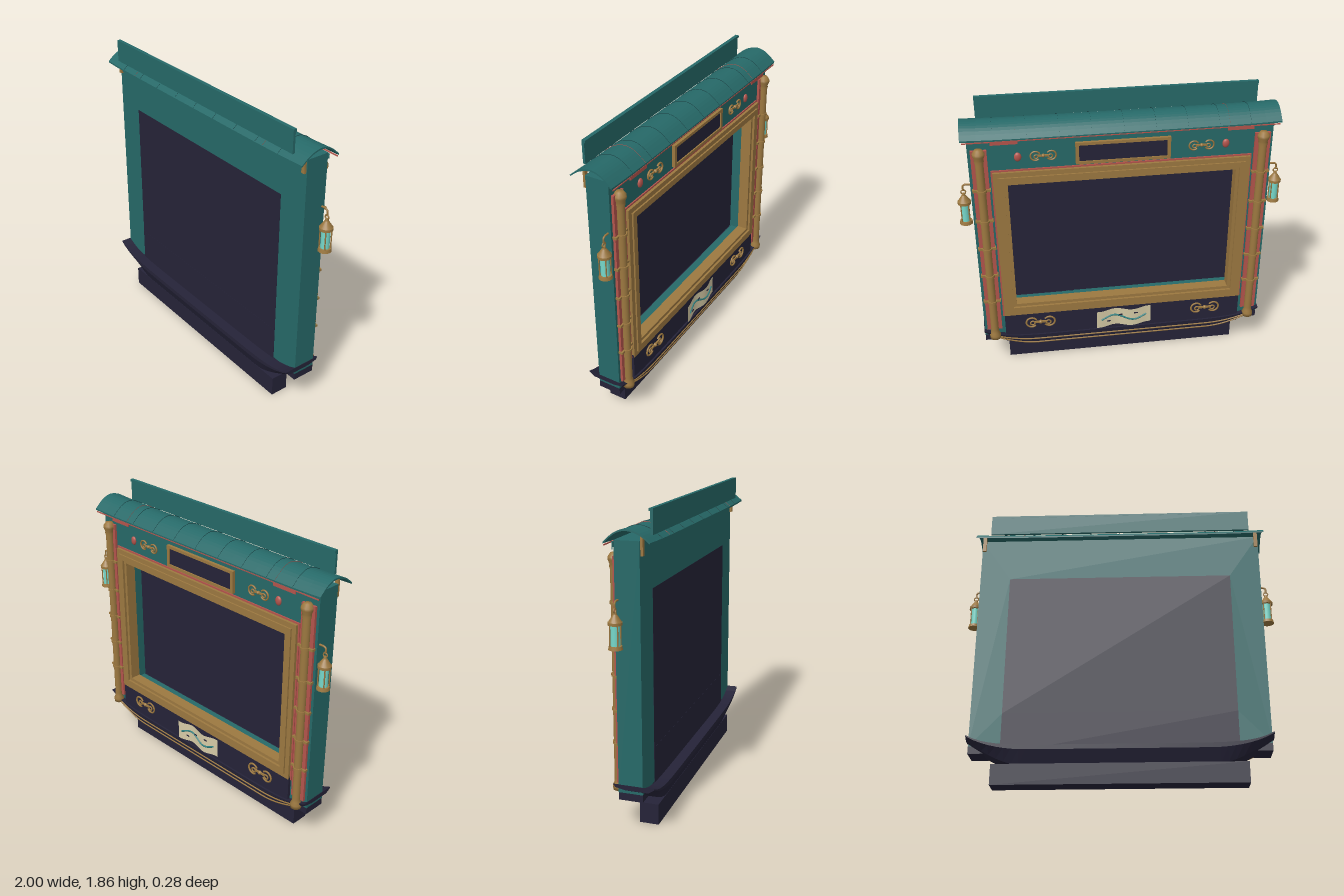
import * as THREE from 'three';

const mat = (name, color, double) => {
  const m = new THREE.MeshStandardMaterial({ color });
  m.name = name;
  if (double) m.side = THREE.DoubleSide;
  return m;
};

export function createModel() {
  const teal = mat('teal paint', 0x266968, true);
  const seamDark = mat('dark teal', 0x183f42);
  const dark = mat('dark indigo', 0x252338, true);
  const gold = mat('brass', 0x9c7840);
  const red = mat('red', 0xb3544c);
  const glass = mat('lantern glass', 0x76d8ca);
  const cream = mat('parchment', 0xd6cba6, true);
  const river = mat('river teal', 0x2f8080, true);

  const model = new THREE.Group();
  model.name = 'displayFrame';

  const add = (name, geo, material, x = 0, y = 0, z = 0, parent = model) => {
    const mesh = new THREE.Mesh(geo, material);
    mesh.name = name;
    mesh.position.set(x, y, z);
    parent.add(mesh);
    return mesh;
  };
  // box given by its limits
  const box = (name, m, x0, x1, y0, y1, z0, z1, parent) =>
    add(name, new THREE.BoxGeometry(x1 - x0, y1 - y0, z1 - z0), m, (x0 + x1) / 2, (y0 + y1) / 2, (z0 + z1) / 2, parent);
  const tube = (name, pts, r, m, parent, seg = 40) =>
    add(name, new THREE.TubeGeometry(new THREE.CatmullRomCurve3(pts.map(p => new THREE.Vector3(...p))), seg, r, 6), m, 0, 0, 0, parent);
  const cyl = (name, m, r0, r1, h, x, y, z, parent, seg = 16) =>
    add(name, new THREE.CylinderGeometry(r0, r1, h, seg), m, x, y, z, parent);
  // rectangular ring, extruded along z
  const ring = (name, m, [ox, oy0, oy1], [ix, iy0, iy1], z0, z1) => {
    const rect = (s, x, a, b) => s.moveTo(-x, a).lineTo(x, a).lineTo(x, b).lineTo(-x, b).lineTo(-x, a);
    const s = rect(new THREE.Shape(), ox, oy0, oy1);
    s.holes.push(rect(new THREE.Path(), ix, iy0, iy1));
    return add(name, new THREE.ExtrudeGeometry(s, { depth: z1 - z0, bevelEnabled: false }), m, 0, 0, z0);
  };
  // closed loft along x; section(x) gives a loop of [z, y]
  const loft = (name, m, xs, section) => {
    const pos = [], idx = [], loops = xs.map(section), n = loops[0].length;
    loops.forEach((l, i) => l.forEach(([z, y]) => pos.push(xs[i], y, z)));
    for (let i = 0; i < xs.length - 1; i++)
      for (let j = 0; j < n; j++) {
        const a = i * n + j, b = i * n + (j + 1) % n;
        idx.push(a, a + n, b, b, a + n, b + n);
      }
    [0, xs.length - 1].forEach((i, end) => {
      const tris = THREE.ShapeUtils.triangulateShape(loops[i].map(p => new THREE.Vector2(...p)), []);
      tris.forEach(t => idx.push(...(end ? t : [...t].reverse()).map(k => i * n + k)));
    });
    let g = new THREE.BufferGeometry();
    g.setAttribute('position', new THREE.Float32BufferAttribute(pos, 3));
    g.setIndex(idx);
    g = g.toNonIndexed();
    g.computeVertexNormals();
    return add(name, g, m);
  };
  const range = (a, b, n) => Array.from({ length: n + 1 }, (_, i) => a + (b - a) * i / n);

  // cabinet and screen
  ring('cabinet', teal, [0.915, 0.25, 1.69], [0.72, 0.46, 1.4], -0.08, 0.065);
  box('screen', dark, -0.72, 0.72, 0.46, 1.4, 0.045, 0.066);
  box('lowerFrontPanel', dark, -0.72, 0.72, 0.2, 0.46, 0.04, 0.067);
  box('lowerBackPanel', dark, -0.78, 0.78, 0.2, 0.42, -0.1, -0.07);
  box('cabinetFoot', dark, -0.915, 0.915, 0.205, 0.25, -0.08, 0.065);
  box('base', dark, -0.765, 0.765, 0, 0.128, -0.01, 0.105);

  // stepped brass moulding around the opening
  ring('outerMoulding', gold, [0.78, 0.405, 1.45], [0.745, 0.44, 1.415], -0.105, -0.08);
  ring('middleMoulding', gold, [0.75, 0.435, 1.42], [0.715, 0.47, 1.385], -0.115, -0.08);
  ring('innerMoulding', gold, [0.72, 0.465, 1.39], [0.695, 0.49, 1.365], -0.1, -0.03);
  ring('redFillet', red, [0.79, 0.395, 1.46], [0.775, 0.41, 1.445], -0.088, -0.08);

  // boat-shaped hull
  const bottomY = x => 0.12 + 0.15 * Math.max(0, (Math.abs(x) / 0.92 - 0.65) / 0.35) ** 1.5;
  const topY = x => 0.235 + 0.065 * (Math.abs(x) / 0.92) ** 8;
  const hullSection = x => {
    const b = bottomY(x), t = topY(x), h = t - b;
    return [[0.135, t], [0.135, b + 0.75 * h], [0.1, b], [-0.04, b], [-0.1, b + 0.4 * h], [-0.112, t]];
  };
  loft('hull', dark, range(-0.92, 0.92, 40), hullSection);
  [0.15, 0.42, 0.7].forEach(f => {
    tube('hullLine', range(-0.88, 0.88, 24).map(x => {
      const b = bottomY(x), h = topY(x) - b;
      const z = f < 0.4 ? -0.04 - 0.06 * f / 0.4 : -0.1 - 0.012 * (f - 0.4) / 0.6;
      return [x, b + f * h, z - 0.002];
    }), 0.005, gold, model, 60);
  });

  // curved roof with seams and a red eave
  const arc = new THREE.SplineCurve([[0.137, 1.672], [0.075, 1.718], [0, 1.738], [-0.065, 1.718], [-0.126, 1.667]]
    .map(p => new THREE.Vector2(...p))).getPoints(16);
  const roofSection = lift => x => {
    const up = 0.008 * (Math.abs(x) / 0.95) ** 6 + lift;
    return [...arc.map(p => [p.x, p.y + up + 0.01]), ...arc.map(p => [p.x, p.y + up]).reverse()].reverse();
  };
  loft('roof', teal, range(-0.95, 0.95, 20), roofSection(0));
  range(-0.76, 0.76, 8).forEach(x => loft('roofSeam', seamDark, [x - 0.003, x + 0.003], roofSection(0.003)));
  box('eaveTrim', red, -0.94, 0.94, 1.663, 1.669, -0.128, -0.122);
  [-1, 1].forEach(s => {
    const x = s * 0.7;
    box('eavePatch', red, x - 0.08, x + 0.08, 1.645, 1.667, -0.127, -0.121);
    loft('roofStripe', red, [s * 0.632 - 0.002, s * 0.632 + 0.002], roofSection(0.003));
    box('roofBracket', gold, s * 0.9 - 0.012, s * 0.9 + 0.012, 1.61, 1.715, 0.068, 0.082);
  });
  // scalloped valance below the back eave
  const valance = new THREE.Shape().moveTo(-0.915, 1.68).lineTo(-0.915, 1.64);
  range(-0.915, 0.915, 80).forEach(x => valance.lineTo(x, 1.642 + 0.012 * Math.cos(x * 20)));
  valance.lineTo(0.915, 1.68);
  add('valance', new THREE.ExtrudeGeometry(valance, { depth: 0.006, bevelEnabled: false }), teal, 0, 0, -0.092);

  // upright board above the roof
  box('crestBoard', teal, -0.855, 0.855, 1.715, 1.855, 0.104, 0.119);
  box('crestLip', teal, -0.855, 0.855, 1.84, 1.855, 0.096, 0.119);

  // name plate, left blank
  box('plate', dark, -0.27, 0.27, 1.485, 1.6, -0.092, -0.08);
  ring('plateFrame', gold, [0.285, 1.472, 1.613], [0.265, 1.49, 1.595], -0.1, -0.08);

  // scroll ornament of two curls, a bar and a boss
  const scroll = (x, y, z, k) => {
    const g = new THREE.Group();
    g.name = 'scroll';
    [-1, 1].forEach(s => {
      const curl = add('curl', new THREE.TorusGeometry(0.034, 0.006, 6, 20, Math.PI * 1.6), gold, s * 0.055, 0, 0, g);
      curl.rotation.z = s > 0 ? -2.4 : 0.7;
      add('innerCurl', new THREE.TorusGeometry(0.014, 0.005, 6, 12), gold, s * 0.05, -0.006, 0, g);
    });
    box('bar', gold, -0.04, 0.04, -0.006, 0.006, -0.005, 0.005, g);
    add('boss', new THREE.SphereGeometry(0.013, 10, 8), gold, 0, 0, 0, g);
    g.position.set(x, y, z);
    g.scale.set(k, k, 1);
    model.add(g);
  };

  // parts mirrored on both sides
  [-1, 1].forEach(s => {
    scroll(s * 0.475, 1.54, -0.085, 0.85);
    scroll(s * 0.55, 0.335, -0.105, 1.05);
    add('gem', new THREE.SphereGeometry(0.026, 14, 10), red, s * 0.625, 1.54, -0.082).scale.set(0.85, 1.1, 0.5);

    // brass column on a red backing strip
    const cx = s * 0.85, cz = -0.103;
    box('columnBacking', red, cx - 0.048, cx + 0.048, 0.3, 1.6, -0.096, -0.08);
    const profile = [[0, 0.235], [0.034, 0.24], [0.036, 0.265], [0.027, 0.285], [0.025, 0.31], [0.025, 1.52],
      [0.03, 1.54], [0.027, 1.55], [0.037, 1.575], [0.037, 1.59], [0.022, 1.612], [0, 1.615]];
    add('column', new THREE.LatheGeometry(profile.map(p => new THREE.Vector2(...p)), 16), gold, cx, 0, cz);
    [0.53, 0.73, 0.93, 1.13, 1.34].forEach(y => {
      cyl('columnRing', gold, 0.031, 0.031, 0.016, cx, y, cz);
      box('columnClamp', gold, cx - 0.055, cx + 0.055, y - 0.007, y + 0.007, -0.107, -0.08);
    });

    // hanging lantern
    const L = new THREE.Group();
    L.name = 'lantern';
    L.position.set(s * 0.96, 0, -0.062);
    model.add(L);
    cyl('lanternBase', gold, 0.036, 0.04, 0.02, 0, 1.118, 0, L);
    cyl('lanternGlass', glass, 0.026, 0.026, 0.12, 0, 1.188, 0, L);
    cyl('lanternRim', gold, 0.04, 0.04, 0.016, 0, 1.252, 0, L);
    cyl('lanternCap', gold, 0.012, 0.038, 0.04, 0, 1.28, 0, L);
    cyl('lanternKnob', gold, 0.008, 0.012, 0.016, 0, 1.306, 0, L);
    for (let i = 0; i < 4; i++) {
      const a = Math.PI / 4 + i * Math.PI / 2;
      cyl('lanternBar', gold, 0.004, 0.004, 0.13, 0.032 * Math.cos(a), 1.188, 0.032 * Math.sin(a), L, 6);
    }
    add('lanternLoop', new THREE.TorusGeometry(0.014, 0.004, 6, 14), gold, 0, 1.322, 0, L);
    tube('lanternHook', [[0, 1.33, 0], [0, 1.362, 0], [s * -0.012, 1.37, 0], [s * -0.05, 1.37, 0]], 0.006, gold, L, 16);
  });

  // wavy parchment sheet with a river line
  const wave = x => -0.118 + 0.007 * Math.sin(x * 26);
  const sheet = new THREE.PlaneGeometry(0.36, 0.13, 30, 1);
  const p = sheet.attributes.position;
  for (let i = 0; i < p.count; i++) {
    const x = p.getX(i);
    p.setXYZ(i, x, p.getY(i) + 0.325 + 0.006 * Math.sin(x * 30), wave(x));
  }
  sheet.computeVertexNormals();
  add('parchment', sheet, cream);
  tube('riverLine', range(-0.15, 0.15, 12).map(x => [x, 0.325 + 0.02 * Math.sin(x * 24), wave(x) - 0.002]), 0.006, river);
  [[-0.08, 0.355], [0.02, 0.345], [0.1, 0.3]].forEach(([x, y]) =>
    box('mapMark', dark, x - 0.012, x + 0.012, y - 0.003, y + 0.003, wave(x) - 0.005, wave(x)));

  return model;
}
